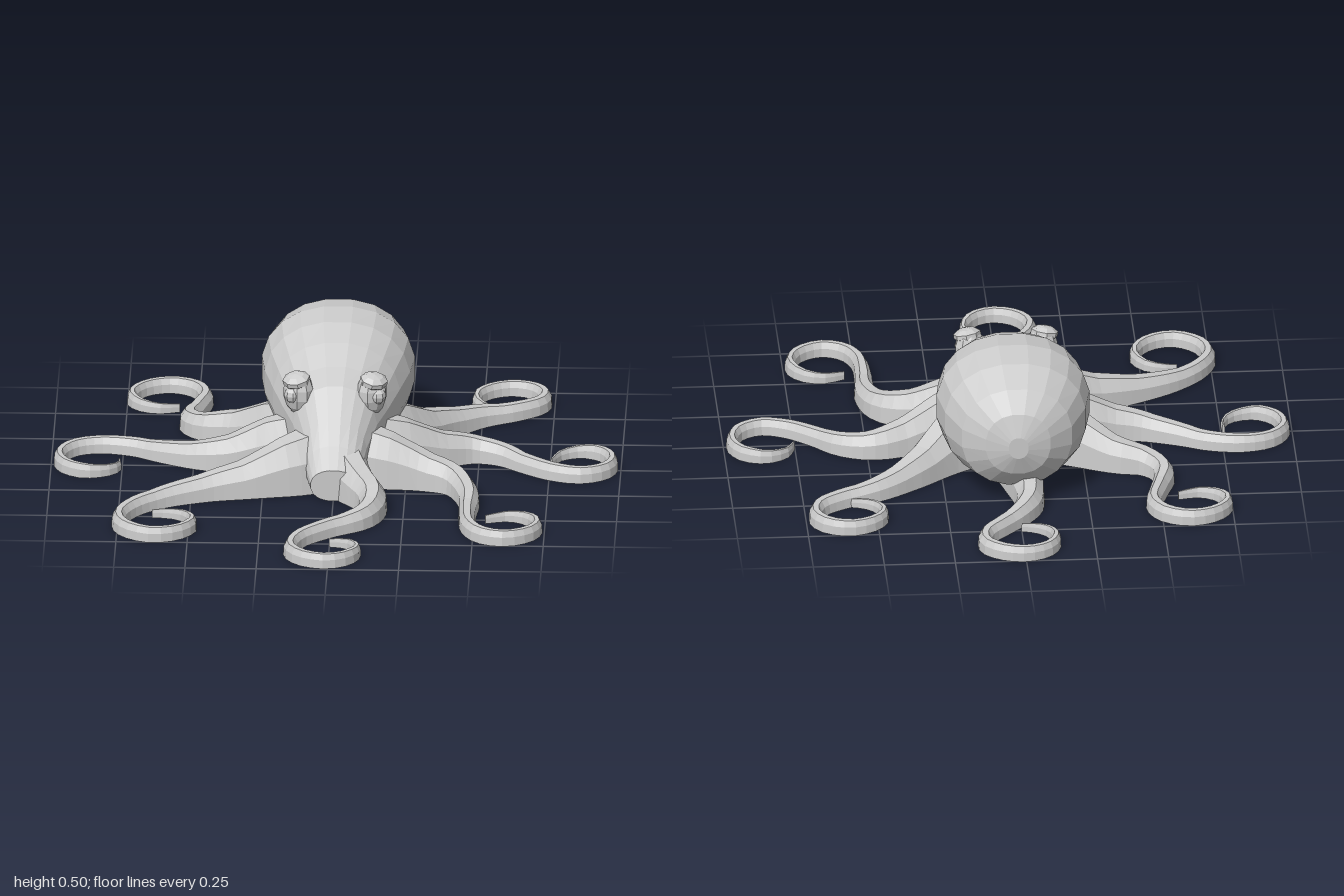
import * as THREE from 'three';

const material = new THREE.MeshStandardMaterial({ color: 0xcccccc, flatShading: true });

// Closed skin through rings of equal point count, capped at both ends, facing outwards
function loft(rings) {
  const n = rings[0].length, pos = [], idx = [];
  rings.forEach(r => r.forEach(p => pos.push(p.x, p.y, p.z)));
  for (let i = 0; i < rings.length - 1; i++)
    for (let j = 0; j < n; j++) {
      const a = i * n + j, b = i * n + (j + 1) % n;
      idx.push(a, b, b + n, a, b + n, a + n);
    }
  [0, rings.length - 1].forEach((i, end) => {
    const c = rings[i].reduce((s, p) => s.add(p), new THREE.Vector3()).divideScalar(n);
    const k = pos.length / 3;
    pos.push(c.x, c.y, c.z);
    for (let j = 0; j < n; j++) {
      const a = i * n + j, b = i * n + (j + 1) % n;
      if (end) idx.push(k, a, b); else idx.push(k, b, a);
    }
  });
  // The signed volume tells whether the winding must be reversed
  const v = i => new THREE.Vector3().fromArray(pos, i * 3);
  let volume = 0;
  for (let i = 0; i < idx.length; i += 3) volume += v(idx[i]).dot(v(idx[i + 1]).cross(v(idx[i + 2])));
  if (volume < 0) idx.reverse();
  const g = new THREE.BufferGeometry();
  g.setAttribute('position', new THREE.Float32BufferAttribute(pos, 3));
  g.setIndex(idx);
  g.computeVertexNormals();
  return g;
}

// Straight-line lookup in [key, value] steps
function ramp(steps, t) {
  for (let i = 1; i < steps.length; i++) {
    const [a, va] = steps[i - 1], [b, vb] = steps[i];
    if (t <= b) return va + (vb - va) * (t - a) / (b - a);
  }
  return steps[steps.length - 1][1];
}

// Arm section: flat underside, chamfered top (half widths, heights)
const SECTION = [[-1, 0], [-0.92, 0.6], [-0.42, 1], [0.42, 1], [0.92, 0.6], [1, 0]];
const WIDTH = [[0, 0.2], [0.15, 0.135], [0.3, 0.092], [0.45, 0.065], [0.6, 0.05], [0.85, 0.036], [1, 0.01]];
const HEIGHT = [[0, 0.22], [0.12, 0.18], [0.22, 0.115], [0.33, 0.08], [0.45, 0.06], [0.85, 0.05], [1, 0.03]];

function armGeometry(path, wide) {
  const curve = new THREE.CatmullRomCurve3(path.map(([x, z]) => new THREE.Vector3(x, 0, z)), false, 'centripetal');
  const rings = [], steps = 40;
  for (let i = 0; i <= steps; i++) {
    const t = i / steps, p = curve.getPointAt(t), d = curve.getTangentAt(t);
    const side = new THREE.Vector3(-d.z, 0, d.x);
    const w = ramp(WIDTH, t) / 2 * (1 + (wide - 1) * Math.max(0, 1 - t * 1.6)), h = ramp(HEIGHT, t);
    rings.push(SECTION.map(([u, v]) => p.clone().addScaledVector(side, u * w).setY(v * h)));
  }
  return loft(rings);
}

// Arm centre lines [x, z] from under the body to the curled tip, with base width factor
const ARMS = {
  frontArm: [1.15, [[-0.02, 0.05], [0.06, 0.26], [0.14, 0.42], [0.11, 0.56], [-0.02, 0.67], [-0.11, 0.77], [-0.135, 0.87],
    [-0.09, 0.945], [-0.01, 0.975], [0.06, 0.945], [0.1, 0.87], [0.085, 0.81], [0.055, 0.785], [0, 0.775]]],
  backArm: [1.2, [[0, -0.15], [-0.03, -0.4], [-0.04, -0.58], [0, -0.67], [0.07, -0.76], [0.13, -0.84], [0.13, -0.915],
    [0.07, -0.97], [-0.01, -0.985], [-0.085, -0.945], [-0.115, -0.87], [-0.1, -0.81], [-0.055, -0.77], [0, -0.755]]],
  backLeftArm: [1.3, [[0.1, -0.06], [0.27, -0.23], [0.37, -0.34], [0.49, -0.44], [0.62, -0.505], [0.7, -0.57], [0.715, -0.645],
    [0.675, -0.71], [0.595, -0.735], [0.515, -0.7], [0.475, -0.635], [0.49, -0.57], [0.535, -0.53], [0.595, -0.515]]],
  backRightArm: [0.95, [[-0.1, -0.08], [-0.26, -0.19], [-0.37, -0.255], [-0.475, -0.295], [-0.525, -0.37], [-0.5, -0.49], [-0.475, -0.61],
    [-0.51, -0.69], [-0.595, -0.73], [-0.685, -0.7], [-0.735, -0.62], [-0.71, -0.55], [-0.64, -0.515], [-0.565, -0.53]]],
  leftArm: [1, [[0.08, 0.02], [0.24, -0.015], [0.35, -0.055], [0.48, -0.095], [0.585, -0.065], [0.675, 0.015], [0.77, 0.085],
    [0.865, 0.11], [0.945, 0.065], [0.97, -0.02], [0.935, -0.1], [0.86, -0.13], [0.785, -0.095], [0.755, -0.03]]],
  rightArm: [1, [[-0.08, 0.02], [-0.26, 0], [-0.37, 0.005], [-0.47, -0.005], [-0.605, -0.06], [-0.71, -0.115], [-0.83, -0.135],
    [-0.92, -0.105], [-0.97, -0.025], [-0.95, 0.065], [-0.88, 0.115], [-0.795, 0.095], [-0.76, 0.05], [-0.76, 0.01]]],
  frontLeftArm: [1.05, [[0.03, 0.08], [0.17, 0.13], [0.32, 0.165], [0.425, 0.22], [0.475, 0.345], [0.475, 0.5], [0.485, 0.625],
    [0.53, 0.705], [0.61, 0.735], [0.695, 0.69], [0.725, 0.61], [0.69, 0.535], [0.62, 0.505], [0.54, 0.53]]],
  frontRightArm: [1.2, [[-0.02, 0.12], [-0.155, 0.2], [-0.29, 0.25], [-0.45, 0.305], [-0.605, 0.385], [-0.7, 0.475], [-0.745, 0.58],
    [-0.72, 0.675], [-0.63, 0.735], [-0.535, 0.705], [-0.485, 0.62], [-0.515, 0.54], [-0.575, 0.51], [-0.63, 0.51]]],
};

// Body sections: z, half width, bottom, top
const BODY = [[-0.585, 0.035, 0.2, 0.28], [-0.56, 0.115, 0.13, 0.36], [-0.5, 0.195, 0.06, 0.43], [-0.4, 0.25, 0.04, 0.482],
  [-0.28, 0.272, 0.04, 0.5], [-0.16, 0.258, 0.03, 0.487], [-0.06, 0.225, 0.02, 0.447], [0.03, 0.185, 0, 0.392],
  [0.12, 0.15, 0, 0.352], [0.2, 0.115, 0, 0.255], [0.26, 0.1, 0, 0.18], [0.33, 0.08, 0, 0.115]];

function bodyGeometry() {
  const n = 20, soft = c => Math.sign(c) * Math.abs(c) ** 0.9;
  return loft(BODY.map(([z, w, lo, hi]) => Array.from({ length: n }, (_, j) => {
    const a = (j + 0.5) / n * Math.PI * 2;
    return new THREE.Vector3(w * soft(Math.cos(a)), (lo + hi) / 2 + (hi - lo) / 2 * soft(Math.sin(a)), z);
  })));
}

export function createModel() {
  const model = new THREE.Group();
  const add = (name, geometry, parent = model) => {
    const mesh = new THREE.Mesh(geometry, material);
    mesh.name = name;
    parent.add(mesh);
    return mesh;
  };

  add('body', bodyGeometry());

  // Web joining the arm bases, flat underneath
  const profile = [[0, 0], [0.27, 0], [0.262, 0.04], [0.225, 0.09], [0.19, 0.15], [0.165, 0.23], [0, 0.28]];
  const web = add('web', new THREE.LatheGeometry(profile.map(p => new THREE.Vector2(...p)), 20));
  web.position.z = -0.01;

  for (const [name, [wide, path]] of Object.entries(ARMS)) add(name, armGeometry(path, wide));

  // Bulging eyes with a heavy lid above each
  for (const s of [1, -1]) {
    const eye = new THREE.Group();
    eye.name = s > 0 ? 'leftEye' : 'rightEye';
    eye.position.set(s * 0.128, 0.315, 0.088);
    eye.rotation.set(0, s * 0.7, 0);
    model.add(eye);
    add('eyeSocket', new THREE.SphereGeometry(1, 9, 7), eye).scale.set(0.058, 0.08, 0.05);
    const ball = add('eyeball', new THREE.SphereGeometry(0.03, 8, 6), eye);
    ball.position.set(0, 0, 0.033);
    const lid = add('eyelid', new THREE.SphereGeometry(1, 8, 5), eye);
    lid.scale.set(0.052, 0.026, 0.05);
    lid.position.set(0, 0.05, 0.012);
    lid.rotation.x = 0.25;
  }
  return model;
}
